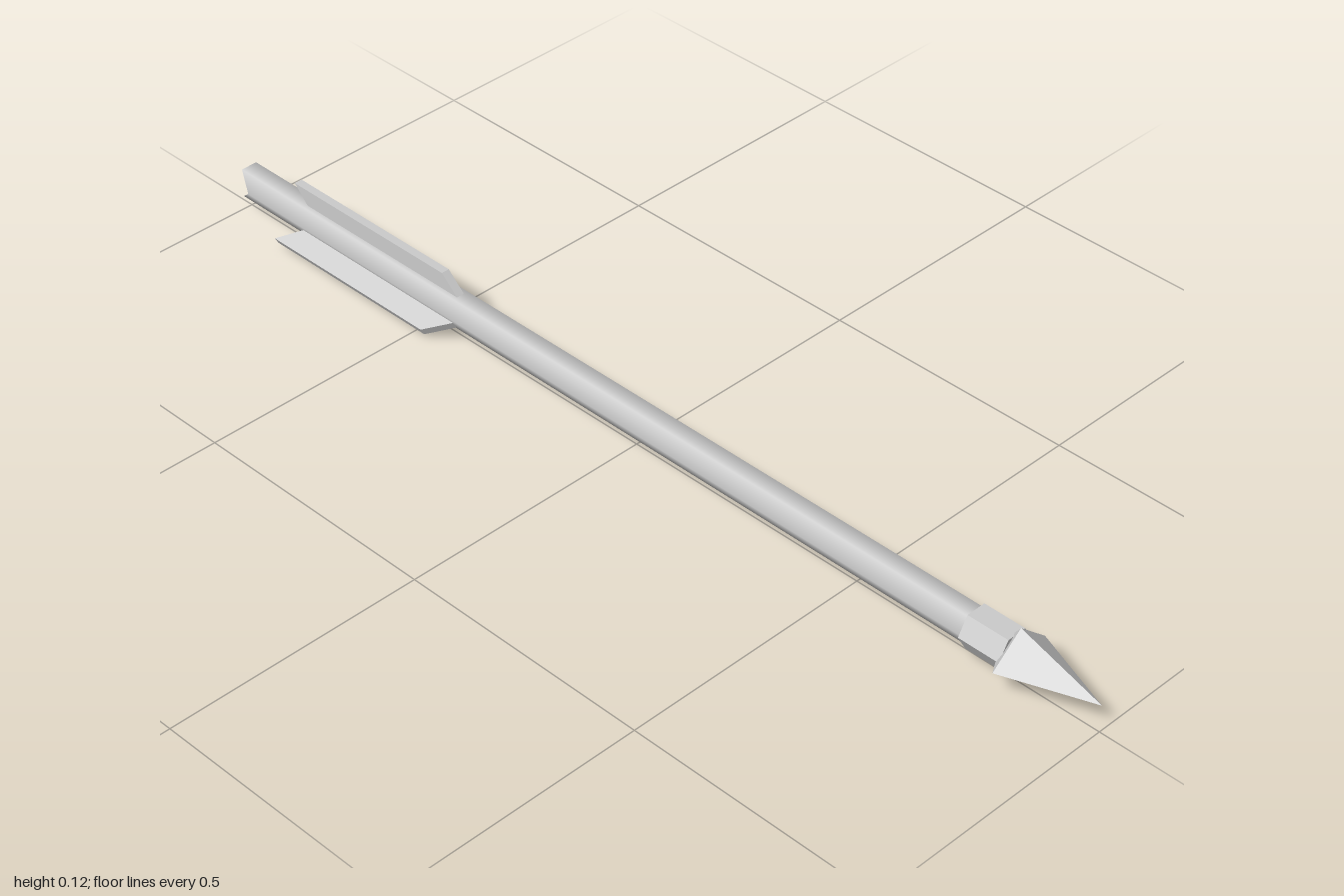
import * as THREE from 'three';

const AXIS_Y = 0.057;

export function createModel() {
  const group = new THREE.Group();
  const smooth = new THREE.MeshStandardMaterial({ color: 0xcccccc });
  const flat = new THREE.MeshStandardMaterial({ color: 0xcccccc, flatShading: true });

  const add = (name, geometry, material, y = AXIS_Y) => {
    const mesh = new THREE.Mesh(geometry, material);
    mesh.name = name;
    mesh.position.y = y;
    group.add(mesh);
    return mesh;
  };

  // Six-sided tube along z with corners on the left and right
  const hexTube = (radius, z0, z1, open) =>
    new THREE.CylinderGeometry(radius, radius, z1 - z0, 6, 1, open, Math.PI / 6)
      .rotateX(Math.PI / 2)
      .translate(0, 0, (z0 + z1) / 2);

  // Shaft: the side corners of the tail are pulled in to form the string notch
  const notch = (x) => (Math.abs(x) > 0.03 ? -0.965 : -1);
  const shaft = hexTube(0.0335, -1, 0.8, true);
  const p = shaft.attributes.position;
  for (let i = 0; i < p.count; i++) {
    if (p.getZ(i) < -0.9) p.setZ(i, notch(p.getX(i)));
  }
  add('shaft', shaft, smooth);

  // Hollow end inside the notch
  const end = new THREE.CircleGeometry(0.0335, 6).rotateY(Math.PI);
  const e = end.attributes.position;
  for (let i = 0; i < e.count; i++) {
    e.setZ(i, i === 0 ? -0.955 : notch(e.getX(i)));
  }
  add('nock', end, flat);

  // Collar behind the head
  add('collar', hexTube(0.0395, 0.745, 0.828, false), flat);

  // Head: four-sided point with a slightly bevelled back
  const profile = [[0, 0.82], [0.036, 0.82], [1, 0.835], [0, 1]];
  profile[1][0] = 0.6;
  const head = new THREE.LatheGeometry(profile.map(([r, z]) => new THREE.Vector2(r, z)), 4)
    .rotateX(Math.PI / 2)
    .scale(0.062, 0.0535, 1);
  add('arrowhead', head, flat, 0.0545);

  // Three swept vanes; the shape is drawn as (z, radius)
  const outline = new THREE.Shape([
    [-0.4, 0.005], [-0.47, 0.067], [-0.86, 0.067], [-0.8, 0.005],
  ].map(([z, r]) => new THREE.Vector2(z, r)));
  const vane = new THREE.ExtrudeGeometry(outline, { depth: 0.016, bevelEnabled: false })
    .translate(0, 0, -0.008)
    .rotateY(-Math.PI / 2);
  for (let i = 0; i < 3; i++) {
    add('vane' + (i + 1), vane, flat, 0.052).rotation.z = (i * Math.PI * 2) / 3;
  }

  return group;
}
